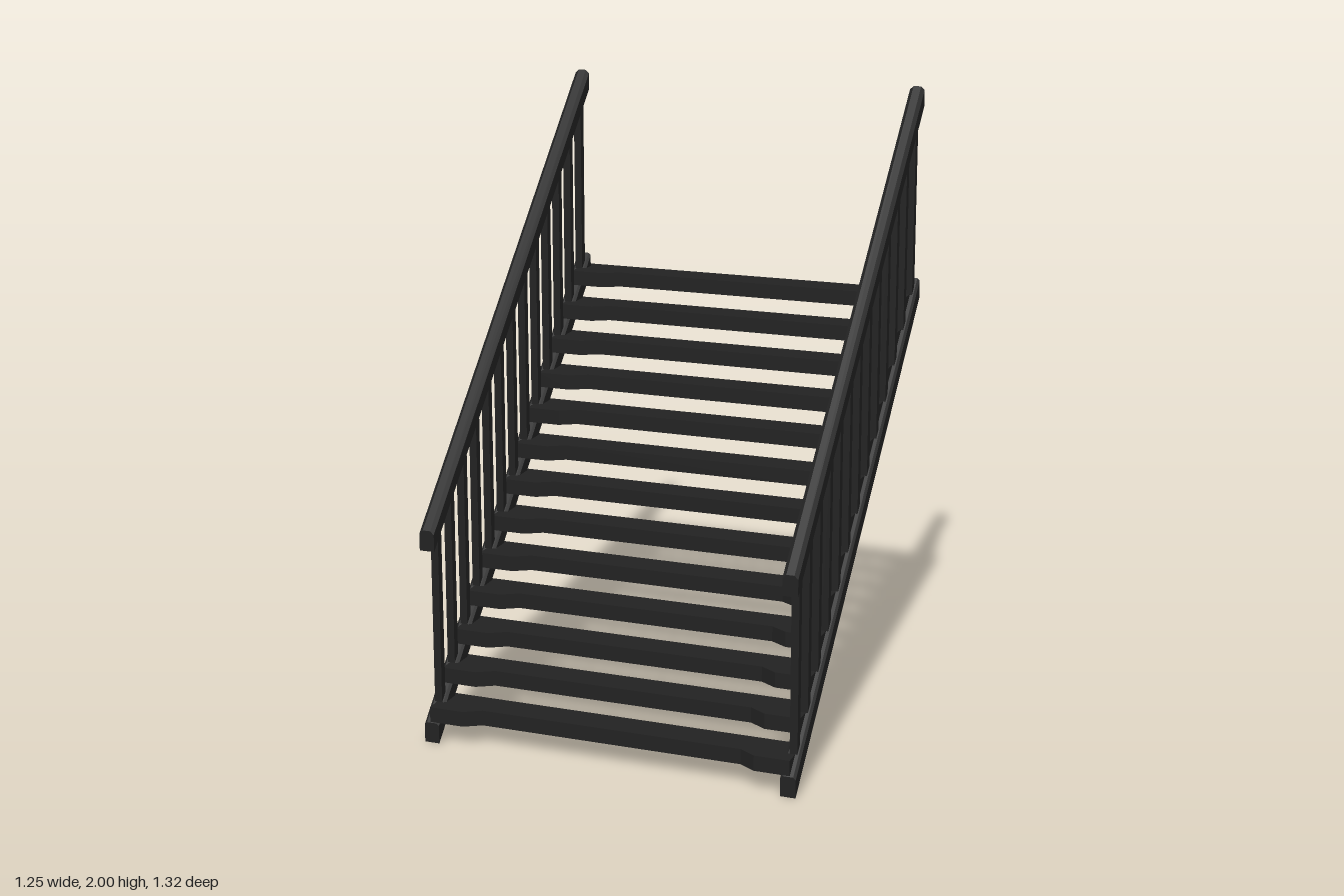
import * as THREE from 'three';

const STEPS = 13, RISE = 0.0992, RUN = 0.0983;
const Z_FRONT = 0.655, Z_BACK = -0.625, SLOPE = 1.29 / (Z_FRONT - Z_BACK);
const SIDE_X = 0.6, BEAM_H = 0.067, RAIL_Y = 0.645;
const material = new THREE.MeshStandardMaterial({ color: 0x222222 });

function add(group, geometry, name, x = 0, y = 0, z = 0) {
  const mesh = new THREE.Mesh(geometry, material);
  mesh.name = name;
  mesh.position.set(x, y, z);
  group.add(mesh);
}

// Beam climbing with the stairs: plumb-cut ends, chamfered top edges
function slopedBeam(width, height, chamfer) {
  const w = width / 2;
  const shape = new THREE.Shape([
    [-w, 0], [w, 0], [w, height - chamfer], [w - chamfer, height],
    [chamfer - w, height], [-w, height - chamfer],
  ].map(([x, y]) => new THREE.Vector2(x, y)));
  const geometry = new THREE.ExtrudeGeometry(shape, { depth: Z_FRONT - Z_BACK, bevelEnabled: false });
  geometry.translate(0, 0, Z_BACK);
  const p = geometry.attributes.position;
  for (let i = 0; i < p.count; i++) p.setY(i, p.getY(i) + (Z_FRONT - p.getZ(i)) * SLOPE);
  geometry.computeVertexNormals();
  return geometry;
}

// Tread: plan outline whose front edge is set back between the two ends
function treadGeometry() {
  const outline = [
    [-0.605, -0.0675], [-0.49, -0.0675], [-0.435, -0.0345], [0.435, -0.0345],
    [0.49, -0.0675], [0.605, -0.0675], [0.605, 0.0725], [-0.605, 0.0725],
  ].map(([x, y]) => new THREE.Vector2(x, y));
  const geometry = new THREE.ExtrudeGeometry(new THREE.Shape(outline), { depth: 0.05, bevelEnabled: false });
  return geometry.rotateX(-Math.PI / 2);
}

export function createModel() {
  const model = new THREE.Group();
  model.name = 'staircase';

  const treads = new THREE.Group();
  treads.name = 'treads';
  model.add(treads);
  const tread = treadGeometry();
  for (let i = 0; i < STEPS; i++) add(treads, tread, 'tread', 0, 0.07 + i * RISE, 0.5875 - i * RUN);

  const stringer = slopedBeam(0.05, BEAM_H, 0.008);
  const handrail = slopedBeam(0.05, BEAM_H, 0.012);
  const baluster = new THREE.BoxGeometry(0.025, RAIL_Y, 0.025);

  for (const side of [1, -1]) {
    const railing = new THREE.Group();
    railing.name = side > 0 ? 'leftRailing' : 'rightRailing';
    railing.position.x = side * SIDE_X;
    model.add(railing);
    add(railing, stringer, 'stringer');
    add(railing, handrail, 'handrail', 0, RAIL_Y);
    // One baluster per tread, buried in the beams at both ends
    for (let i = 0; i < STEPS; i++) {
      const z = 0.59 - i * RUN;
      const y = (Z_FRONT - z) * SLOPE + BEAM_H / 2 + RAIL_Y / 2;
      add(railing, baluster, 'baluster', 0, y, z);
    }
  }
  return model;
}
